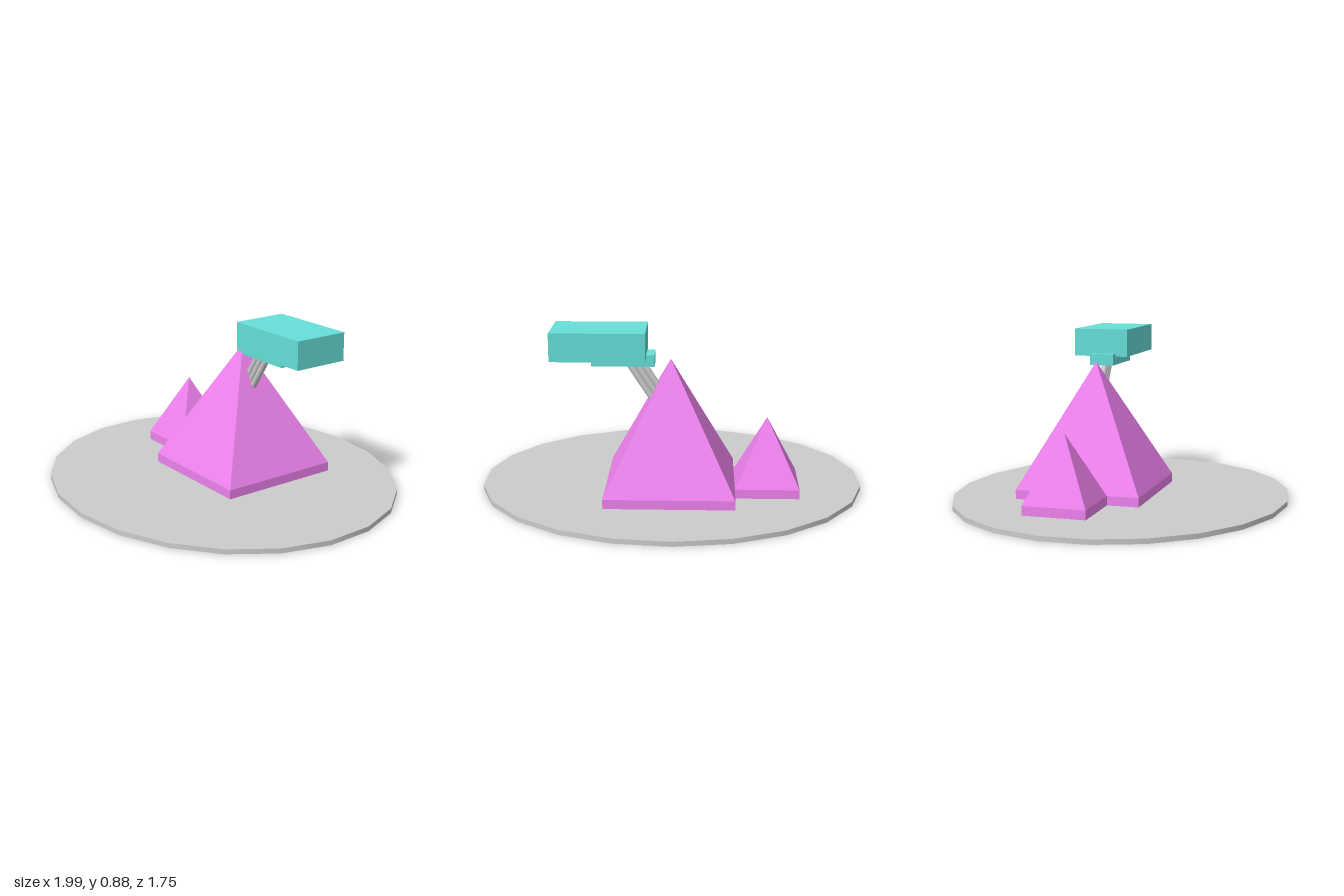
import * as THREE from 'three';

const grey = new THREE.MeshStandardMaterial({ color: 0xcccccc });
const violet = new THREE.MeshStandardMaterial({ color: 0xee82ee, flatShading: true });
const teal = new THREE.MeshStandardMaterial({ color: 0x66dfd8, flatShading: true });
const DISC_TOP = 0.025;
const AXIS_Z = -0.145;

function addMesh(parent, name, geometry, material, x, y, z) {
  const mesh = new THREE.Mesh(geometry, material);
  mesh.name = name;
  mesh.position.set(x, y, z);
  parent.add(mesh);
  return mesh;
}

// Square pyramid standing on a low plinth of the same width
function pyramid(name, x, half, apexY) {
  const group = new THREE.Group();
  group.name = name;
  const plinthTop = 0.073;
  const height = apexY - plinthTop;
  addMesh(group, name + 'Plinth', new THREE.BoxGeometry(half * 2, plinthTop - DISC_TOP, half * 2),
    violet, x, (plinthTop + DISC_TOP) / 2, AXIS_Z);
  const cone = new THREE.ConeGeometry(half * Math.SQRT2, height, 4, 1, true).rotateY(Math.PI / 4);
  addMesh(group, name + 'Peak', cone, violet, x, plinthTop + height / 2, AXIS_Z);
  return group;
}

// Box given by its lower and upper corners
function boxBetween(parent, name, a, b) {
  const size = a.map((v, i) => b[i] - v);
  const mid = a.map((v, i) => (b[i] + v) / 2);
  addMesh(parent, name, new THREE.BoxGeometry(...size), teal, ...mid);
}

export function createModel() {
  const model = new THREE.Group();
  model.name = 'pyramidsWithArm';

  // Oval ground plate
  const plate = new THREE.CylinderGeometry(1, 1, DISC_TOP, 22, 1, false, THREE.MathUtils.degToRad(181.7));
  plate.scale(1, 1, 0.875);
  addMesh(model, 'groundPlate', plate, grey, 0, DISC_TOP / 2, 0);

  // Large and small pyramid side by side
  model.add(pyramid('largePyramid', 0, 0.33, 0.715));
  model.add(pyramid('smallPyramid', -0.495, 0.164, 0.41));

  // Three slanted rods carrying the head
  const direction = new THREE.Vector3(0.123, 0.19, 0).normalize();
  const length = 0.24;
  for (let i = 0; i < 3; i++) {
    const top = new THREE.Vector3(0.145 + i * 0.036, 0.695, AXIS_Z + 0.003);
    const centre = top.addScaledVector(direction, -length / 2);
    const rod = addMesh(model, 'rod' + (i + 1), new THREE.CylinderGeometry(0.017, 0.017, length, 16),
      grey, centre.x, centre.y, centre.z);
    rod.quaternion.setFromUnitVectors(new THREE.Vector3(0, 1, 0), direction);
  }

  // Head block and the smaller mount under it
  boxBetween(model, 'headMount', [0.08, 0.687, -0.208], [0.4, 0.747, -0.078]);
  boxBetween(model, 'headBlock', [0.122, 0.732, -0.307], [0.6, 0.877, -0.012]);

  return model;
}
